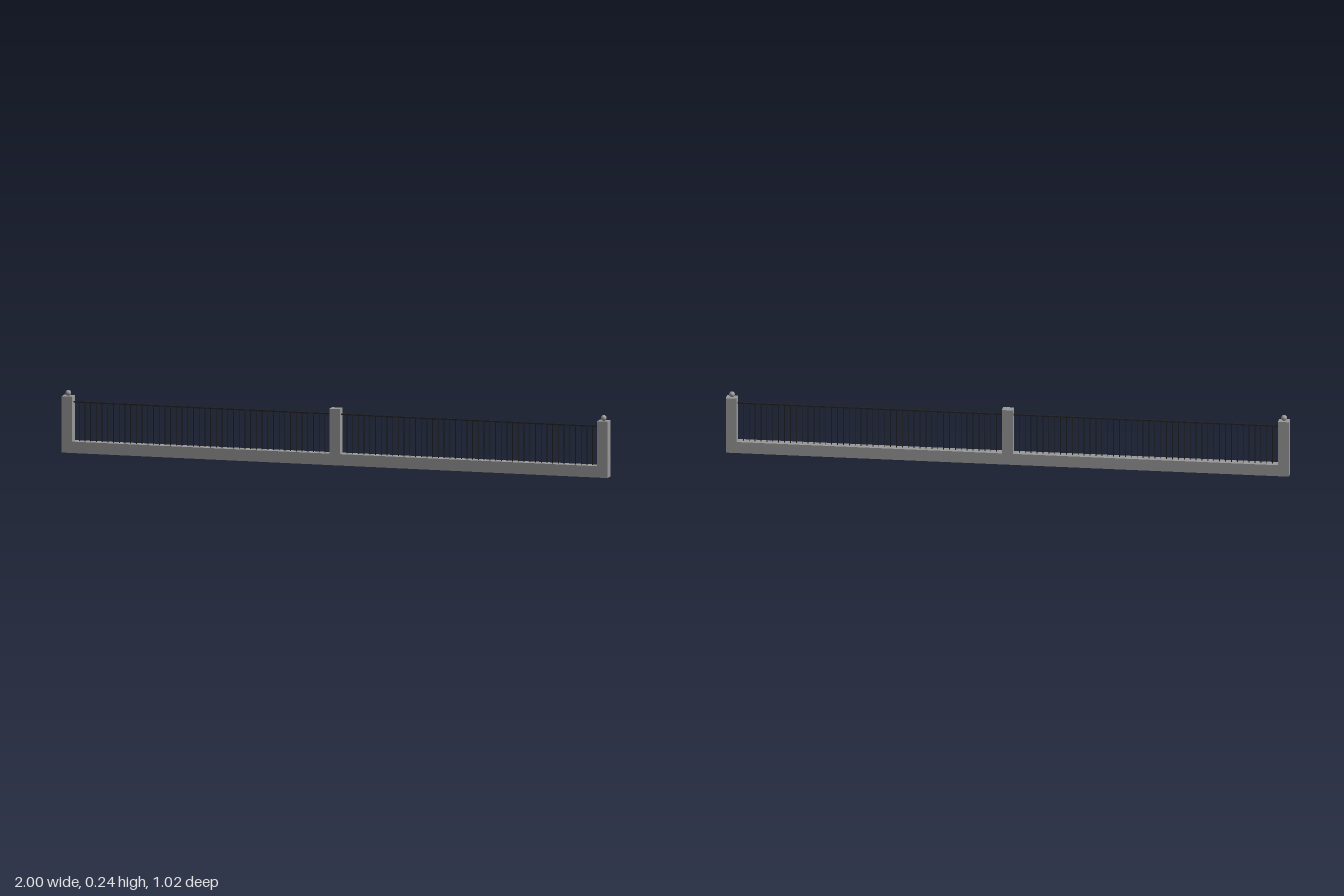
import * as THREE from 'three';

export function createModel() {
  const model = new THREE.Group();
  model.name = 'railingWall';
  const stone = new THREE.MeshStandardMaterial({ color: 0x999999 });
  const iron = new THREE.MeshStandardMaterial({ color: 0x222222 });

  const length = 2.211, depth = 0.04, baseHeight = 0.045;
  const postWidth = 0.043, postTop = 0.222, railY = 0.199;
  const endX = length / 2 - postWidth / 2;

  function add(name, geometry, material, x, y) {
    const mesh = new THREE.Mesh(geometry, material);
    mesh.name = name;
    mesh.position.set(x, y, 0);
    model.add(mesh);
  }

  // Low wall running the full length
  add('baseWall', new THREE.BoxGeometry(length, baseHeight, depth), stone, 0, baseHeight / 2);

  // Two end posts and one centre post
  const postGeometry = new THREE.BoxGeometry(postWidth, postTop - baseHeight, depth);
  for (const x of [-endX, 0, endX]) {
    add('post', postGeometry, stone, x, (postTop + baseHeight) / 2);
  }

  // Ball finials on the end posts
  const ballGeometry = new THREE.SphereGeometry(0.0115, 20, 14);
  for (const x of [-endX, endX]) add('ballFinial', ballGeometry, stone, x, 0.233);

  // Dark top rail and balusters for each bay
  const bars = 44;
  const bay = endX - postWidth;
  const barHeight = railY - baseHeight;
  const railGeometry = new THREE.BoxGeometry(endX, 0.005, 0.008);
  const barGeometry = new THREE.BoxGeometry(0.003, barHeight, 0.003);
  for (const side of [-1, 1]) {
    add('topRail', railGeometry, iron, side * endX / 2, railY);
    for (let i = 1; i <= bars; i++) {
      const x = side * (postWidth / 2 + bay * i / (bars + 1));
      add('baluster', barGeometry, iron, x, baseHeight + barHeight / 2);
    }
  }

  // The whole run stands diagonally
  model.rotation.y = -THREE.MathUtils.degToRad(26.3);
  const root = new THREE.Group();
  root.name = 'fence';
  root.add(model);
  return root;
}
